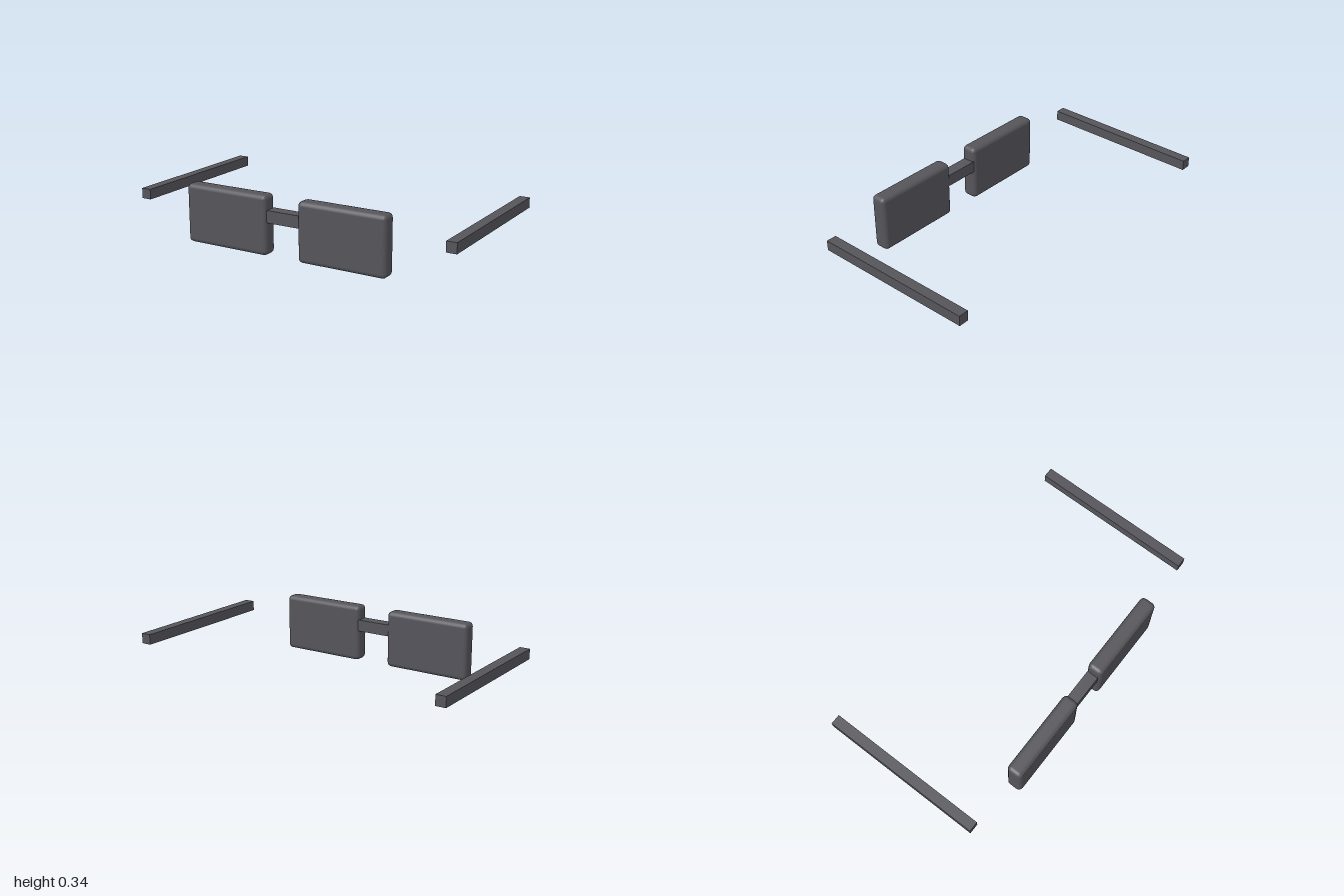
import * as THREE from 'three';
import { RoundedBoxGeometry } from 'three/addons/geometries/RoundedBoxGeometry.js';

export function createModel() {
  const model = new THREE.Group();
  model.name = 'glasses';
  const darkGrey = new THREE.MeshStandardMaterial({ color: 0x55545a });
  darkGrey.name = 'darkGrey';

  const add = (name, geometry, x, y, z) => {
    const mesh = new THREE.Mesh(geometry, darkGrey);
    mesh.name = name;
    mesh.position.set(x, y, z);
    model.add(mesh);
  };

  // Rounded lenses and straight side arms, mirrored left and right
  const lens = new RoundedBoxGeometry(0.53, 0.34, 0.095, 2, 0.026);
  const arm = new THREE.BoxGeometry(0.06, 0.06, 0.97);
  for (const [side, s] of [['left', 1], ['right', -1]]) {
    add(side + 'Lens', lens, s * 0.365, 0.17, 0.4625);
    add(side + 'Arm', arm, s * 0.97, 0.22, -0.025);
  }

  // Nose bridge joining the lenses
  add('bridge', new THREE.BoxGeometry(0.22, 0.07, 0.07), 0, 0.222, 0.4585);

  return model;
}
